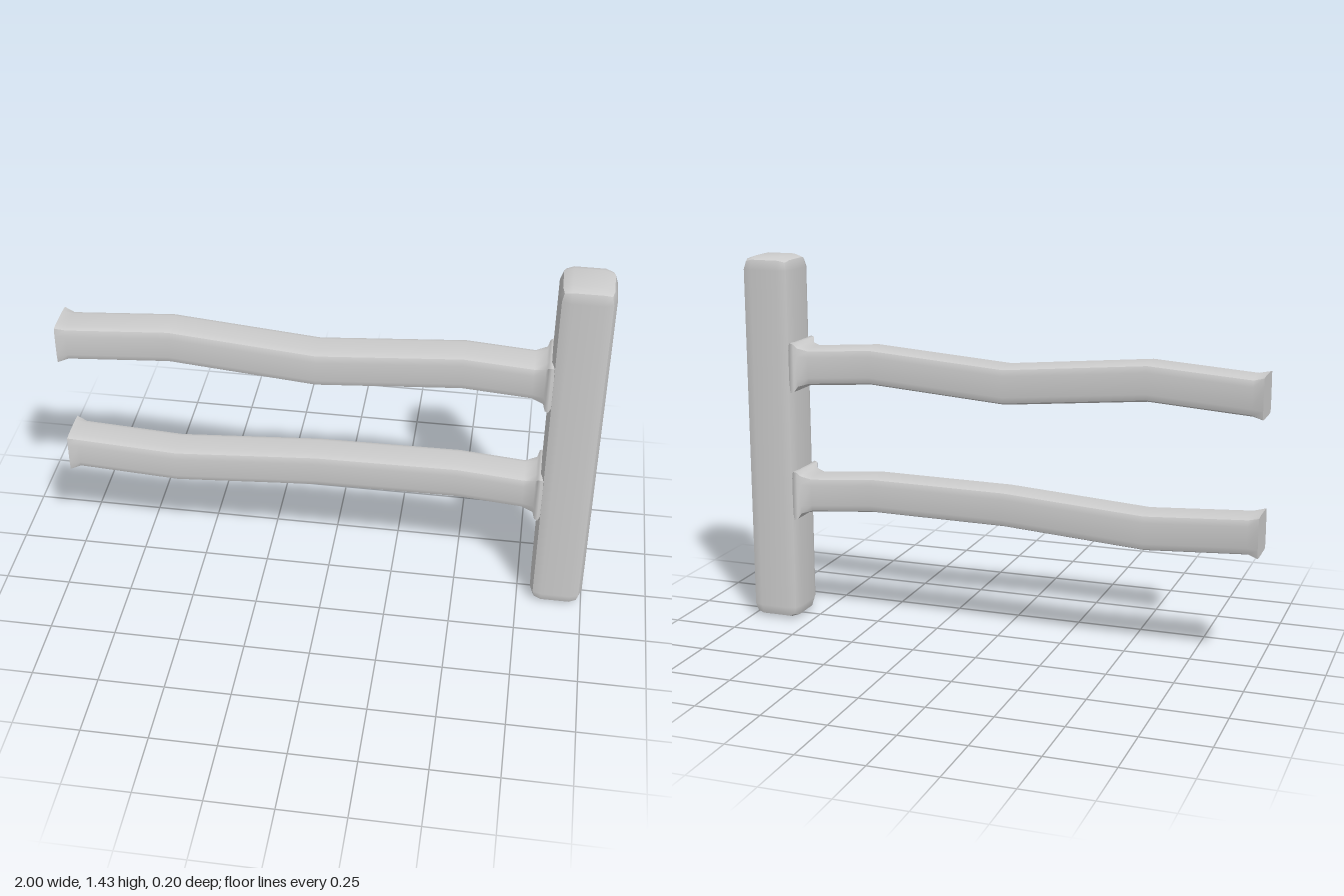
import * as THREE from 'three';

const material = new THREE.MeshStandardMaterial({ color: 0xcccccc });

// Square post with gently bulged faces: edges and corners are pulled inwards
function makePost() {
  const half = [0.1, 0.714, 0.1];
  const flat = [0.055, 0.665, 0.055];
  const geo = new THREE.BoxGeometry(2, 2, 2, 3, 3, 3);
  const pos = geo.attributes.position;
  for (let i = 0; i < pos.count; i++) {
    const p = [pos.getX(i), pos.getY(i), pos.getZ(i)];
    const extremes = p.filter((v) => Math.abs(v) > 0.9).length;
    const inset = [0, 0, 0.012, 0.019][extremes];
    const q = p.map((v, k) => Math.sign(v) * (Math.abs(v) > 0.9 ? half[k] - inset : flat[k]));
    pos.setXYZ(i, ...q);
  }
  geo.computeVertexNormals();
  const mesh = new THREE.Mesh(geo, material);
  mesh.position.set(0.9, half[1], 0);
  return mesh;
}

// Wavy rail: stations are [x, centre height, half thickness, corner inset]
function makeRail(stations) {
  const n = stations.length - 1;
  const geo = new THREE.BoxGeometry(2, 2, 2, n, 3, 3);
  const pos = geo.attributes.position;
  for (let i = 0; i < pos.count; i++) {
    const [x, cy, half, inset] = stations[Math.round(((pos.getX(i) + 1) / 2) * n)];
    const y = pos.getY(i), z = pos.getZ(i);
    const corner = Math.abs(y) > 0.9 && Math.abs(z) > 0.9;
    const place = (v) => Math.sign(v) * (Math.abs(v) > 0.9 ? half - (corner ? inset : 0) : half * 0.55);
    pos.setXYZ(i, x, cy + place(y), place(z));
  }
  geo.computeVertexNormals();
  return new THREE.Mesh(geo, material);
}

// Height of the rail centre at the end, three bends and the post
function railStations([end, a, b, c, joint]) {
  return [
    [-1.0, end, 0.077, 0.003],
    [-0.96, end, 0.071, 0.009],
    [-0.58, a, 0.071, 0.009],
    [-0.04, b, 0.071, 0.009],
    [0.49, c, 0.071, 0.009],
    [0.74, joint, 0.071, 0.009],
    [0.782, joint, 0.079, 0.005],
    [0.79, joint, 0.092, 0.0],
    [0.802, joint, 0.096, 0.0],
    [0.82, joint, 0.08, 0.005],
  ];
}

export function createModel() {
  const group = new THREE.Group();
  group.name = 'fence';

  const post = makePost();
  post.name = 'post';
  group.add(post);

  const rails = {
    upperRail: [1.01, 1.037, 0.988, 1.028, 1.01],
    lowerRail: [0.507, 0.485, 0.523, 0.529, 0.508],
  };
  for (const [name, heights] of Object.entries(rails)) {
    const rail = makeRail(railStations(heights));
    rail.name = name;
    group.add(rail);
  }
  return group;
}
